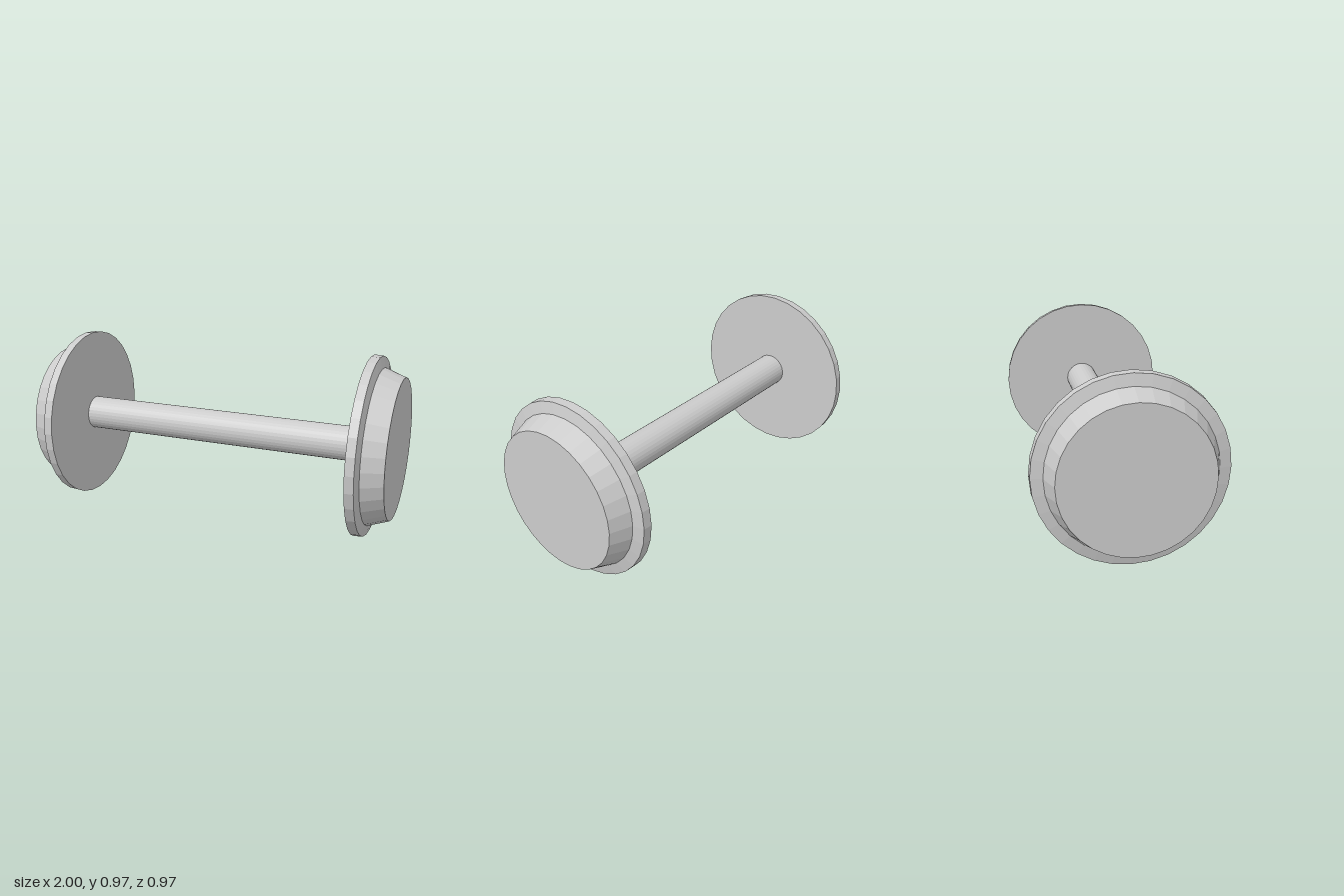
import * as THREE from 'three';

const SIDES = 32;
const AXLE_Y = 0.485;

export function createModel() {
  const group = new THREE.Group();
  group.name = 'wheelset';
  const material = new THREE.MeshStandardMaterial({ color: 0xcccccc, flatShading: true });

  // Wheel profile as (radius, distance from the middle): inner face, flange, conical tread, outer face
  const profile = [
    [0, 0.825], [0.485, 0.825], [0.482, 0.873], [0.422, 0.887], [0.38, 1], [0, 1],
  ].map(([r, d]) => new THREE.Vector2(r, d));
  const wheelGeometry = new THREE.LatheGeometry(profile, SIDES);

  // One wheel at each end, flanges facing inward
  for (const side of [1, -1]) {
    const wheel = new THREE.Mesh(wheelGeometry, material);
    wheel.name = side > 0 ? 'leftWheel' : 'rightWheel';
    wheel.rotation.z = -side * Math.PI / 2;
    wheel.position.y = AXLE_Y;
    group.add(wheel);
  }

  // Axle between the inner wheel faces
  const axle = new THREE.Mesh(new THREE.CylinderGeometry(0.094, 0.094, 1.65, SIDES, 1, true), material);
  axle.name = 'axle';
  axle.rotation.z = Math.PI / 2;
  axle.position.y = AXLE_Y;
  group.add(axle);

  return group;
}
